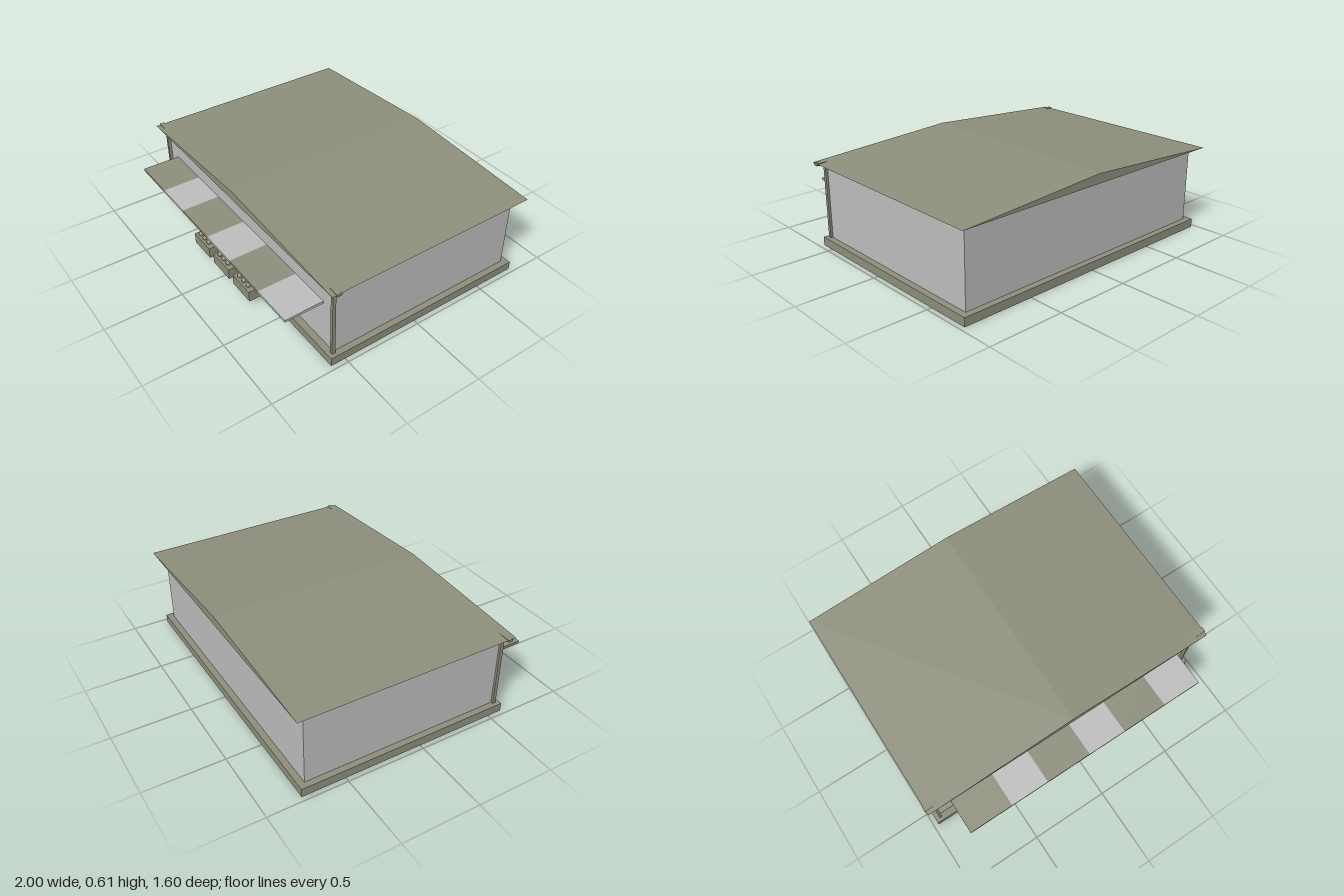
import * as THREE from 'three';

export function createModel() {
  const group = new THREE.Group();
  const olive = new THREE.MeshStandardMaterial({ color: 0x8e8e7c });
  olive.name = 'olive';
  const grey = new THREE.MeshStandardMaterial({ color: 0xbdbdbd });
  grey.name = 'light grey';

  const add = (name, geometry, material, parent = group) => {
    const mesh = new THREE.Mesh(geometry, material);
    mesh.name = name;
    parent.add(mesh);
    return mesh;
  };
  // Box given by its limits on each axis
  const box = (name, material, [x0, x1], [y0, y1], [z0, z1], parent) => {
    const mesh = add(name, new THREE.BoxGeometry(x1 - x0, y1 - y0, z1 - z0), material, parent);
    mesh.position.set((x0 + x1) / 2, (y0 + y1) / 2, (z0 + z1) / 2);
    return mesh;
  };

  // Foundation and hall
  box('foundation', olive, [-0.97, 0.97], [0, 0.055], [-0.775, 0.595]);
  box('walls', grey, [-0.93, 0.93], [0.055, 0.546], [-0.735, 0.552]);

  // Front corner posts and the beam above them
  box('rightPost', olive, [-0.945, -0.927], [0.055, 0.54], [0.55, 0.572]);
  box('leftPost', olive, [0.927, 0.945], [0.055, 0.54], [0.55, 0.572]);
  box('frontBeam', olive, [-0.998, 0.998], [0.535, 0.55], [0.553, 0.585]);

  // Shallow gabled roof
  const gable = new THREE.Shape();
  gable.moveTo(-0.993, 0.545);
  gable.lineTo(0.993, 0.545);
  gable.lineTo(0, 0.605);
  const roof = add('roof', new THREE.ExtrudeGeometry(gable, { depth: 1.412, bevelEnabled: false }), olive);
  roof.position.z = -0.8;

  // Striped awning
  const awning = new THREE.Group();
  awning.name = 'awning';
  group.add(awning);
  const edges = [-0.84, -0.55, -0.297, 0.008, 0.266, 0.57, 0.835];
  for (let i = 0; i < 6; i++) {
    box('awningStripe', i % 2 ? grey : olive, [edges[i], edges[i + 1]], [0.345, 0.361], [0.552, 0.8], awning);
  }

  // Crates of round produce
  const ball = new THREE.SphereGeometry(0.015, 16, 12);
  for (const x of [-0.238, 0, 0.236]) {
    const crate = new THREE.Group();
    crate.name = 'crate';
    crate.position.x = x;
    group.add(crate);
    box('crateBox', olive, [-0.093, 0.093], [0.05, 0.121], [0.61, 0.724], crate);
    for (let i = -1; i <= 1; i++) {
      for (let j = -1; j <= 1; j++) {
        add('produce', ball, olive, crate).position.set(i * 0.049, 0.136, 0.669 + j * 0.031);
      }
    }
  }
  return group;
}
